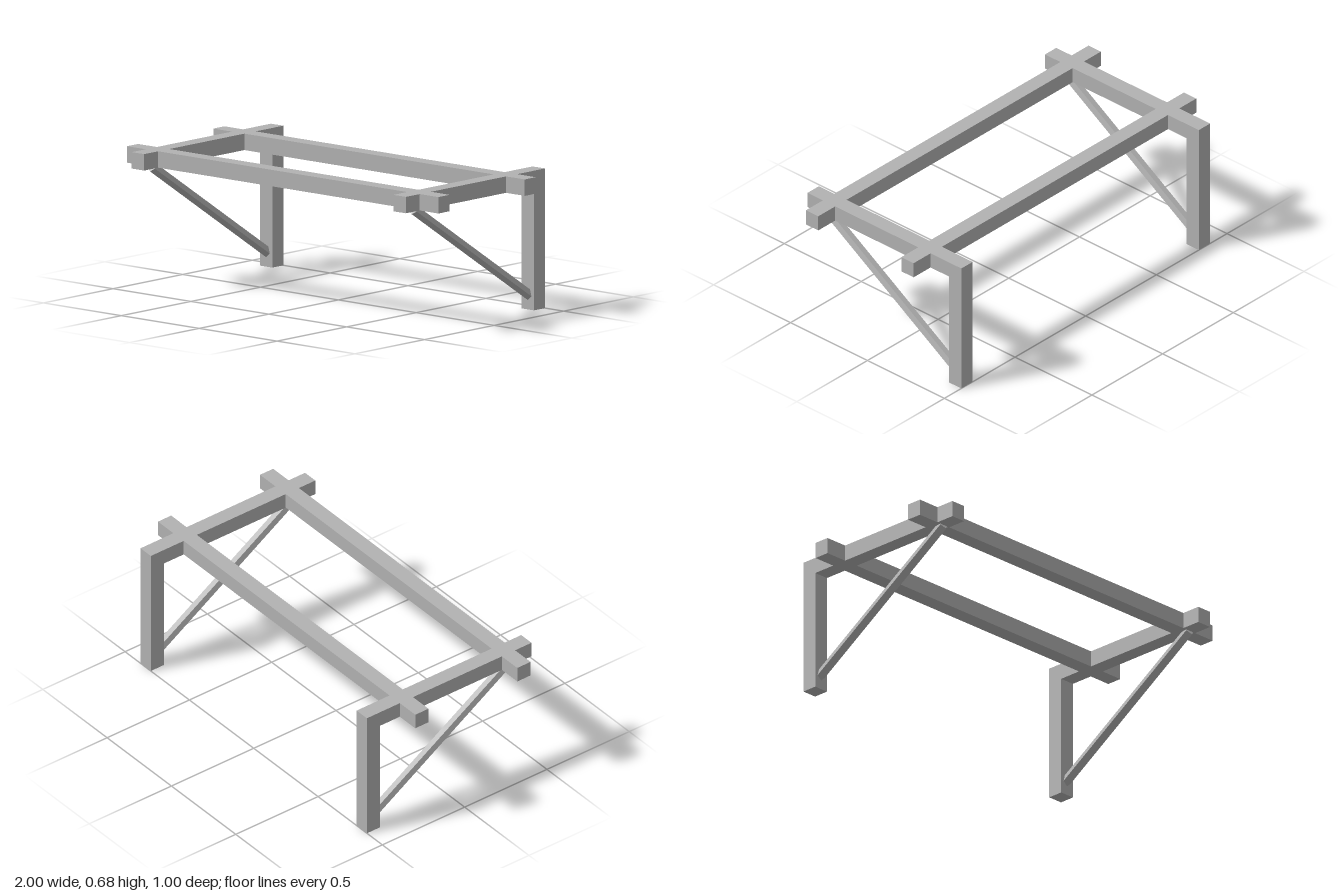
import * as THREE from 'three';

export function createModel() {
  const model = new THREE.Group();
  model.name = 'wallShelfFrame';
  const grey = new THREE.MeshStandardMaterial({ color: 0xb2b2b2 });
  grey.name = 'grey';
  grey.flatShading = true;

  const T = 0.08; // beam thickness
  const TOP = 0.68;

  const add = (name, geometry, x, y, z) => {
    const mesh = new THREE.Mesh(geometry, grey);
    mesh.name = name;
    mesh.position.set(x, y, z);
    model.add(mesh);
    return mesh;
  };

  // Long rails running side to side
  add('frontRail', new THREE.BoxGeometry(2, T, T), 0, TOP - T / 2, 0.36);
  add('backRail', new THREE.BoxGeometry(2, T, T), 0, TOP - T / 2, -0.26);

  // Brace axis, from the foot of the leg up to the front of the arm
  const foot = new THREE.Vector3(0, 0.05, -0.46);
  const head = new THREE.Vector3(0, 0.6, 0.4);
  const span = head.clone().sub(foot);
  const middle = foot.clone().add(head).multiplyScalar(0.5);

  for (const [side, x] of [['left', 0.84], ['right', -0.84]]) {
    // Top arm and rear leg
    add(side + 'Arm', new THREE.BoxGeometry(T, T, 1), x, TOP - T / 2, 0);
    add(side + 'Leg', new THREE.BoxGeometry(T, TOP - T, T), x, (TOP - T) / 2, -0.46);

    // Five-sided diagonal brace with one edge pointing down
    const brace = add(side + 'Brace',
      new THREE.CylinderGeometry(0.025, 0.025, span.length(), 5), x, middle.y, middle.z);
    brace.rotation.x = Math.atan2(span.z, span.y);
  }

  return model;
}
